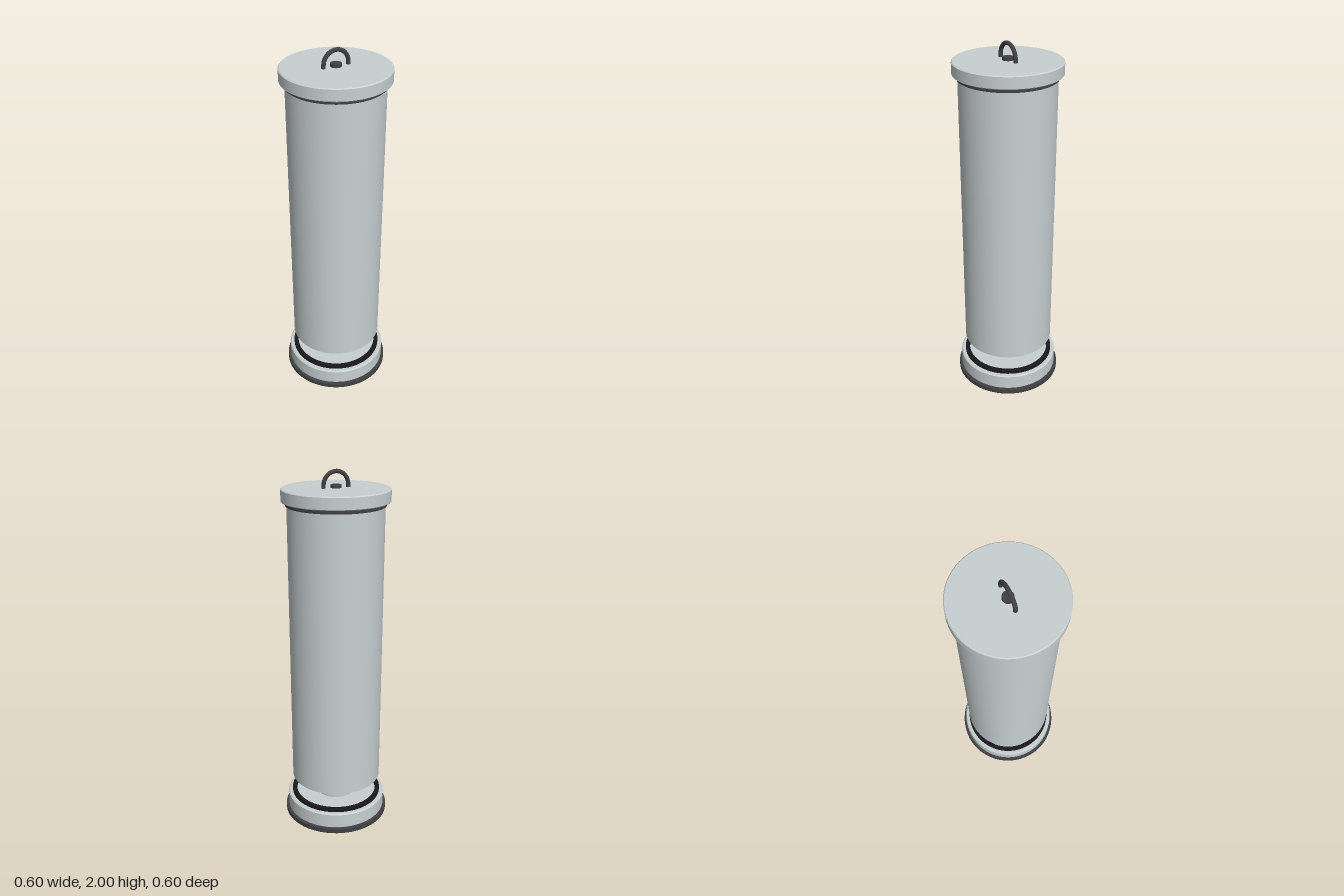
import * as THREE from 'three';

export function createModel() {
  const group = new THREE.Group();
  group.name = 'hangingCanister';

  const material = (name, color, side = THREE.FrontSide) => {
    const m = new THREE.MeshStandardMaterial({ color, side });
    m.name = name;
    return m;
  };
  const paleGrey = material('paleGrey', 0xc8d0d2);
  const darkGrey = material('darkGrey', 0x414144);
  const black = material('black', 0x19191b);

  const add = (name, geometry, mat, y = 0) => {
    const mesh = new THREE.Mesh(geometry, mat);
    mesh.name = name;
    mesh.position.y = y;
    group.add(mesh);
    return mesh;
  };

  // Solid disc between two heights
  const disc = (name, r, y0, y1, mat) =>
    add(name, new THREE.CylinderGeometry(r, r, y1 - y0, 64), mat, (y0 + y1) / 2);

  // Revolved profile; each segment is separate so its edges stay sharp
  const revolve = (name, points, mat) => {
    const part = new THREE.Group();
    part.name = name;
    for (let i = 0; i < points.length - 1; i++) {
      const pair = [points[i], points[i + 1]].map(([r, y]) => new THREE.Vector2(r, y));
      const mesh = new THREE.Mesh(new THREE.LatheGeometry(pair, 64), mat);
      mesh.name = name + 'Face';
      part.add(mesh);
    }
    group.add(part);
  };

  // Disc with softly bevelled rims
  const bevelled = (name, r, y0, y1, b, mat) => revolve(name,
    [[0, y0], [r - b, y0], [r, y0 + b], [r, y1 - b], [r - b, y1], [0, y1]], mat);

  // Flat ring with a rectangular section
  const ring = (name, r0, r1, y0, y1, mat) => revolve(name,
    [[r0, y0], [r1, y0], [r1, y1], [r0, y1], [r0, y0]], mat);

  // Base
  disc('foot', 0.3, 0, 0.024, darkGrey);
  bevelled('base', 0.284, 0.024, 0.116, 0.006, paleGrey);
  ring('baseSeal', 0.235, 0.26, 0.116, 0.134, black);

  // Central stem running up inside the hollow body
  disc('stem', 0.109, 0.11, 1.83, paleGrey);

  // Hollow body, open at the bottom
  ring('body', 0.25, 0.256, 0.235, 1.83, paleGrey);

  // Lid
  disc('lidSeal', 0.262, 1.818, 1.84, darkGrey);
  bevelled('lid', 0.285, 1.838, 1.906, 0.005, paleGrey);

  // Hanging loop
  disc('loopBoss', 0.029, 1.904, 1.922, darkGrey);
  const loop = new THREE.CurvePath();
  const R = 0.069, cy = 1.92;
  const arc = [];
  for (let i = 0; i <= 16; i++) {
    const a = Math.PI * i / 16;
    arc.push(new THREE.Vector3(R * Math.cos(a), cy + R * Math.sin(a), 0));
  }
  loop.add(new THREE.LineCurve3(new THREE.Vector3(R, 1.9, 0), arc[0]));
  loop.add(new THREE.CatmullRomCurve3(arc));
  loop.add(new THREE.LineCurve3(arc[16], new THREE.Vector3(-R, 1.9, 0)));
  add('hangingLoop', new THREE.TubeGeometry(loop, 40, 0.011, 12), darkGrey);

  return group;
}
